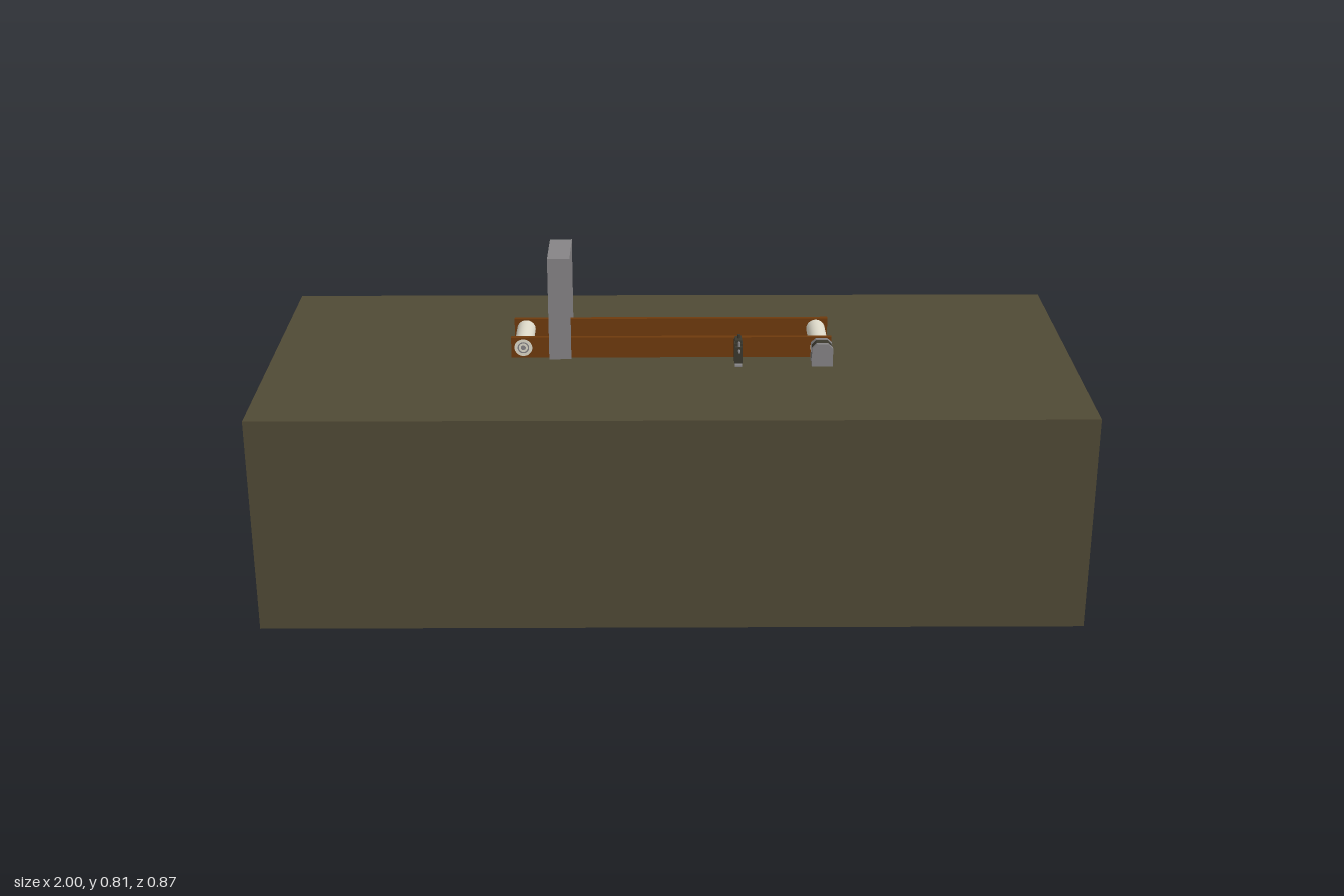
import * as THREE from 'three';

function material(name, color, side = THREE.FrontSide) {
  const m = new THREE.MeshStandardMaterial({ color, side });
  m.name = name;
  return m;
}

export function createModel() {
  const model = new THREE.Group();
  const olive = material('olive block', 0x504a35);
  const brown = material('brown rail', 0x6f3a0c);
  const steel = material('grey steel', 0x868486);
  const ivory = material('ivory roller', 0xdedaca);
  const dark = material('dark housing', 0x3a382e);

  const TOP = 0.546;
  const AXLE_Y = 0.575;

  function add(name, geometry, mat, x, y, z, parent = model) {
    const mesh = new THREE.Mesh(geometry, mat);
    mesh.name = name;
    mesh.position.set(x, y, z);
    parent.add(mesh);
    return mesh;
  }
  const box = (name, mat, w, h, d, x, y, z, parent) =>
    add(name, new THREE.BoxGeometry(w, h, d), mat, x, y, z, parent);
  // cylinder lying along z
  const rod = (name, mat, r, length, x, y, z, parent, sides = 24) =>
    add(name, new THREE.CylinderGeometry(r, r, length, sides).rotateX(Math.PI / 2), mat, x, y, z, parent);
  // outline extruded along z from the given start
  function plate(name, mat, shape, depth, x, y, z, parent) {
    const g = new THREE.ExtrudeGeometry(shape, { depth, bevelEnabled: false, curveSegments: 24 });
    return add(name, g, mat, x, y, z, parent);
  }

  // Base block
  box('baseBlock', olive, 2, TOP, 0.87, 0, TOP / 2, 0);

  // Side rails with round bearing openings
  const rail = new THREE.Shape();
  rail.moveTo(-0.4, -0.026).lineTo(0.4, -0.026).lineTo(0.4, 0.027).lineTo(-0.4, 0.027).closePath();
  for (const x of [-0.37, 0.37]) {
    rail.holes.push(new THREE.Path().absarc(x, 0, 0.0225, 0, Math.PI * 2, true));
  }
  plate('frontRail', brown, rail, 0.012, 0, AXLE_Y, 0.025);
  plate('backRail', brown, rail, 0.012, 0, AXLE_Y, -0.11);

  // Rollers with hubs and axles
  for (const x of [-0.37, 0.37]) {
    const roller = new THREE.Group();
    roller.name = 'roller';
    roller.position.set(x, AXLE_Y, -0.0365);
    model.add(roller);
    rod('rollerDrum', ivory, 0.0235, 0.123, 0, 0, 0, roller, 40);
    rod('rollerEnds', ivory, 0.0224, 0.144, 0, 0, 0, roller, 32);
    for (const s of [-1, 1]) {
      const ring = new THREE.Shape().absarc(0, 0, 0.0145, 0, Math.PI * 2);
      ring.holes.push(new THREE.Path().absarc(0, 0, 0.0115, 0, Math.PI * 2, true));
      plate('bearingRing', steel, ring, 0.001, 0, 0, s * 0.0725 - 0.0005, roller);
    }
    rod('axle', steel, 0.006, 0.147, 0, 0, 0, roller);
  }

  // Inspection arch: two thin legs and a top strap
  const arch = new THREE.Group();
  arch.name = 'arch';
  model.add(arch);
  for (const z of [0.0395, -0.1125]) {
    box('archLeg', steel, 0.055, 0.264, 0.004, -0.278, TOP + 0.132, z, arch);
  }
  box('archTop', steel, 0.055, 0.004, 0.156, -0.278, 0.808, -0.0365, arch);

  // Drive motor: chamfered end caps around a dark core
  const motor = new THREE.Group();
  motor.name = 'driveMotor';
  motor.position.set(0.374, TOP, 0);
  model.add(motor);
  function chamfered(w, h, c) {
    const a = w / 2;
    return new THREE.Shape()
      .moveTo(-a, 0).lineTo(a, 0).lineTo(a, h - c).lineTo(a - c, h)
      .lineTo(c - a, h).lineTo(-a, h - c).closePath();
  }
  plate('motorRearCap', steel, chamfered(0.052, 0.058, 0.012), 0.012, 0, 0, 0.083, motor);
  plate('motorCore', dark, chamfered(0.049, 0.056, 0.01), 0.024, 0, 0, 0.059, motor);
  plate('motorFrontCap', steel, chamfered(0.052, 0.058, 0.012), 0.012, 0, 0, 0.047, motor);
  rod('motorBoss', steel, 0.014, 0.008, 0, 0.029, 0.044, motor);
  rod('motorShaft', steel, 0.005, 0.02, 0, 0.029, 0.038, motor);

  // Sensor on a bracket beside the front rail
  const sensor = new THREE.Group();
  sensor.name = 'sensor';
  sensor.position.set(0.166, TOP, 0);
  model.add(sensor);
  box('sensorBody', dark, 0.022, 0.052, 0.04, 0, 0.031, 0.066, sensor);
  box('sensorFoot', steel, 0.02, 0.005, 0.058, 0, 0.0025, 0.069, sensor);
  box('sensorFace', dark, 0.018, 0.036, 0.012, 0, 0.034, 0.092, sensor);
  box('sensorCap', dark, 0.018, 0.008, 0.034, 0, 0.061, 0.067, sensor);
  add('sensorKnob', new THREE.CylinderGeometry(0.004, 0.004, 0.01, 16), dark, 0, 0.069, 0.064, sensor);
  add('sensorScrew', new THREE.CylinderGeometry(0.003, 0.003, 0.012, 12), steel, 0, 0.058, 0.091, sensor);
  rod('sensorPin', steel, 0.003, 0.074, 0, 0.044, 0.075, sensor, 12);

  return model;
}
